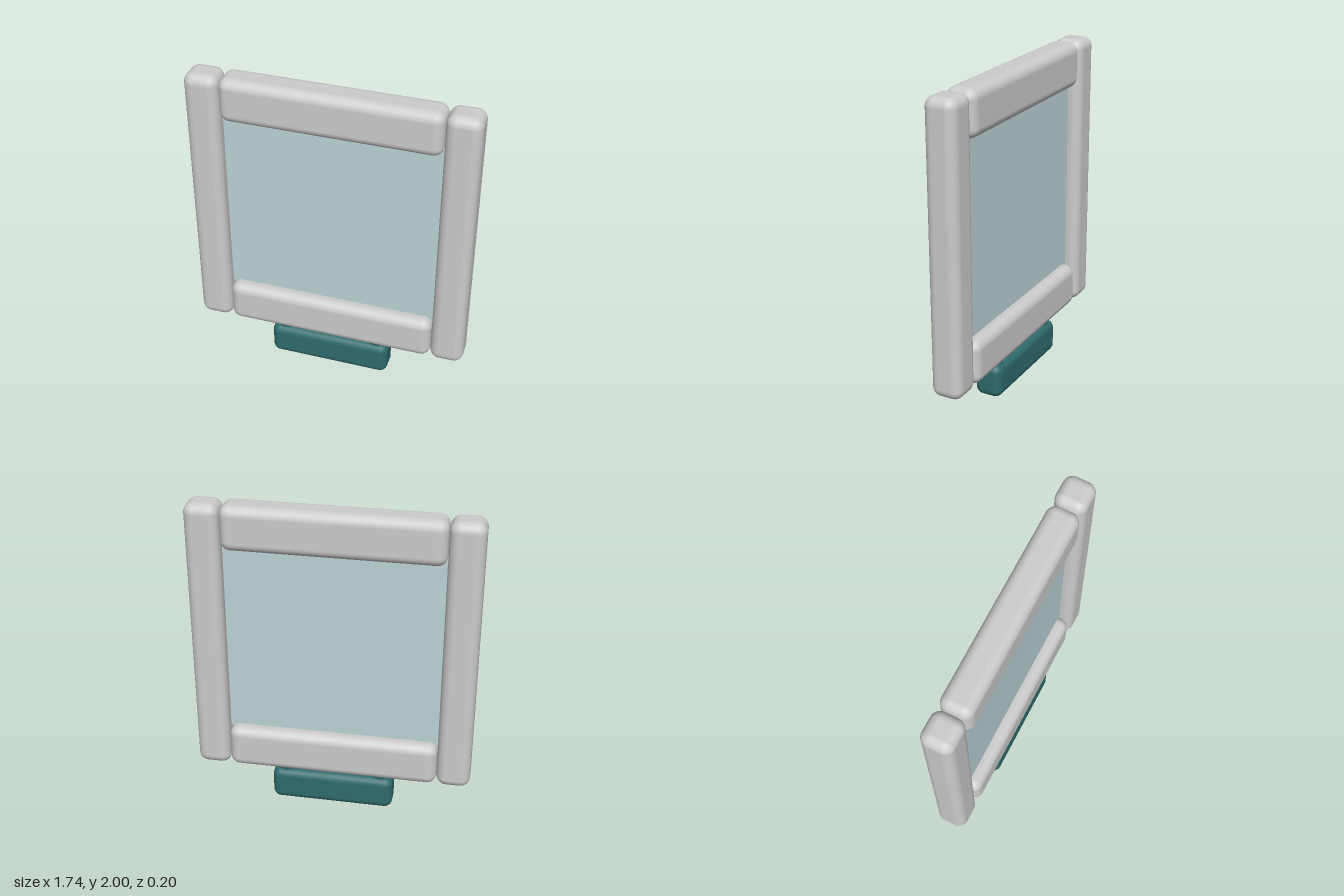
import * as THREE from 'three';
import { RoundedBoxGeometry } from 'three/addons/geometries/RoundedBoxGeometry.js';

export function createModel() {
  const model = new THREE.Group();
  model.name = 'framedPanel';
  const grey = new THREE.MeshStandardMaterial({ color: 0xcccccc });
  const teal = new THREE.MeshStandardMaterial({ color: 0x2f6b6d });
  const glass = new THREE.MeshStandardMaterial({ color: 0xbcd3d6 });
  const Z = -0.004;

  const add = (name, geometry, material, x, y) => {
    const mesh = new THREE.Mesh(geometry, material);
    mesh.name = name;
    mesh.position.set(x, y, Z);
    model.add(mesh);
  };
  const rounded = (w, h, d, r) => new RoundedBoxGeometry(w, h, d, 6, r);

  // Upright posts and the pegs joining the foot to the frame
  for (const [side, s] of [['left', 1], ['right', -1]]) {
    add(side + 'Post', rounded(0.208, 1.775, 0.196, 0.06), grey, s * 0.764, 1.1125);
    add(side + 'Peg', new THREE.CylinderGeometry(0.063, 0.063, 0.06, 32), teal, s * 0.3, 0.22);
  }

  // Horizontal rails
  add('topRail', rounded(1.316, 0.28, 0.196, 0.06), grey, 0, 1.86);
  add('bottomRail', rounded(1.316, 0.28, 0.196, 0.06), grey, 0, 0.365);

  // Pane held between rails and posts
  add('pane', new THREE.BoxGeometry(1.314, 1.25, 0.04), glass, 0, 1.1125);

  // Foot
  add('foot', rounded(0.77, 0.216, 0.174, 0.05), teal, 0, 0.108);

  return model;
}
